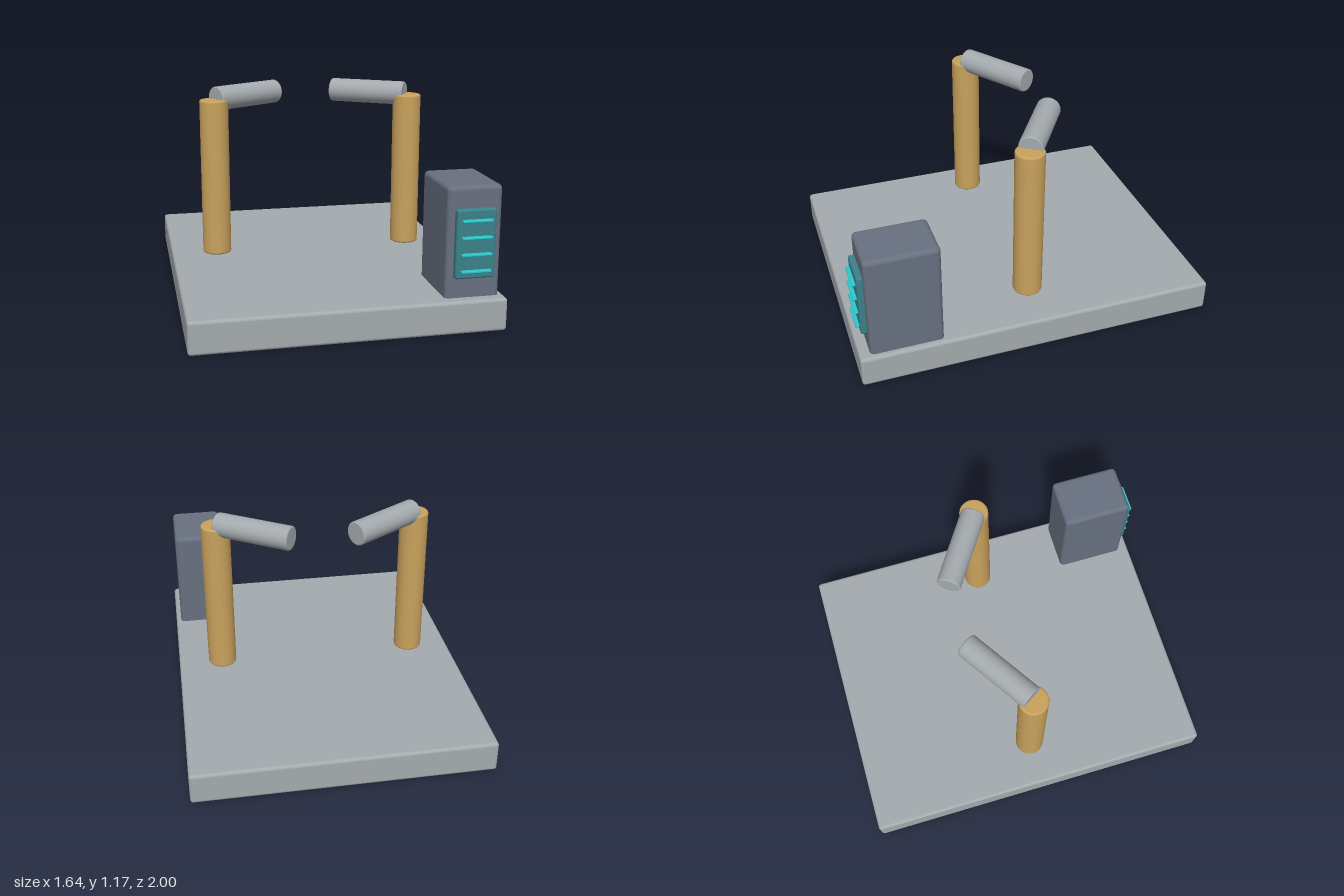
import * as THREE from 'three';
import { RoundedBoxGeometry } from 'three/addons/geometries/RoundedBoxGeometry.js';

const material = (name, color) => {
  const m = new THREE.MeshStandardMaterial({ color });
  m.name = name;
  return m;
};

// Cylinder along y, centred on the origin, with softly rounded rims
function roundedCylinder(radius, length, bevel) {
  const points = [new THREE.Vector2(0, -length / 2)];
  const steps = 4;
  for (const side of [-1, 1]) {
    for (let i = 0; i <= steps; i++) {
      const t = (i / steps) * Math.PI / 2;
      const a = side < 0 ? t - Math.PI / 2 : t;
      points.push(new THREE.Vector2(
        radius - bevel + Math.cos(a) * bevel,
        side * (length / 2 - bevel) + Math.sin(a) * bevel));
    }
  }
  points.push(new THREE.Vector2(0, length / 2));
  return new THREE.LatheGeometry(points, 40);
}

export function createModel() {
  const model = new THREE.Group();
  model.name = 'model';
  const grey = material('light grey', 0xa4aaad);
  const steel = material('steel grey', 0xa4aaae);
  const brass = material('brass', 0xc9a25c);
  const slate = material('slate', 0x687080);
  const teal = material('dark teal', 0x3c818a);
  const cyan = material('bright cyan', 0x2cc8cb);

  const add = (name, geometry, mat, parent = model) => {
    const mesh = new THREE.Mesh(geometry, mat);
    mesh.name = name;
    parent.add(mesh);
    return mesh;
  };

  // Rounded box given by its lowest and highest corners
  const addBox = (name, min, max, radius, mat, parent) => {
    const s = max.map((v, i) => v - min[i]);
    const mesh = add(name, new RoundedBoxGeometry(...s, 3, radius), mat, parent);
    mesh.position.set(...max.map((v, i) => (v + min[i]) / 2));
    return mesh;
  };

  // Base slab
  addBox('base', [-0.82, 0, -1], [0.82, 0.178, 1], 0.018, grey);

  // Mirrored posts, each with an arm reaching back and inwards
  const postGeometry = roundedCylinder(0.081, 0.89, 0.012);
  const up = new THREE.Vector3(0, 1, 0);
  for (const side of [1, -1]) {
    const prefix = side > 0 ? 'left' : 'right';
    add(prefix + 'Post', postGeometry, brass).position.set(side * 0.565, 0.655, 0);

    const start = new THREE.Vector3(side * 0.553, 1.103, -0.006);
    const end = new THREE.Vector3(side * 0.175, 1.103, -0.253);
    const arm = add(prefix + 'Arm', roundedCylinder(0.068, start.distanceTo(end), 0.01), steel);
    arm.position.copy(start).add(end).multiplyScalar(0.5);
    arm.quaternion.setFromUnitVectors(up, end.sub(start).normalize());
  }

  // Control cabinet with a panel and four indicator bars
  const cabinet = new THREE.Group();
  cabinet.name = 'controlCabinet';
  model.add(cabinet);
  addBox('cabinetBody', [0.498, 0.14, 0.543], [0.79, 0.766, 0.941], 0.025, slate, cabinet);
  addBox('controlPanel', [0.538, 0.287, 0.92], [0.75, 0.652, 0.973], 0.012, teal, cabinet);
  for (let i = 0; i < 4; i++) {
    const y = 0.329 + i * 0.0885;
    addBox('indicatorBar' + (i + 1), [0.564, y - 0.007, 0.969], [0.725, y + 0.007, 0.995], 0.005, cyan, cabinet);
  }
  return model;
}
